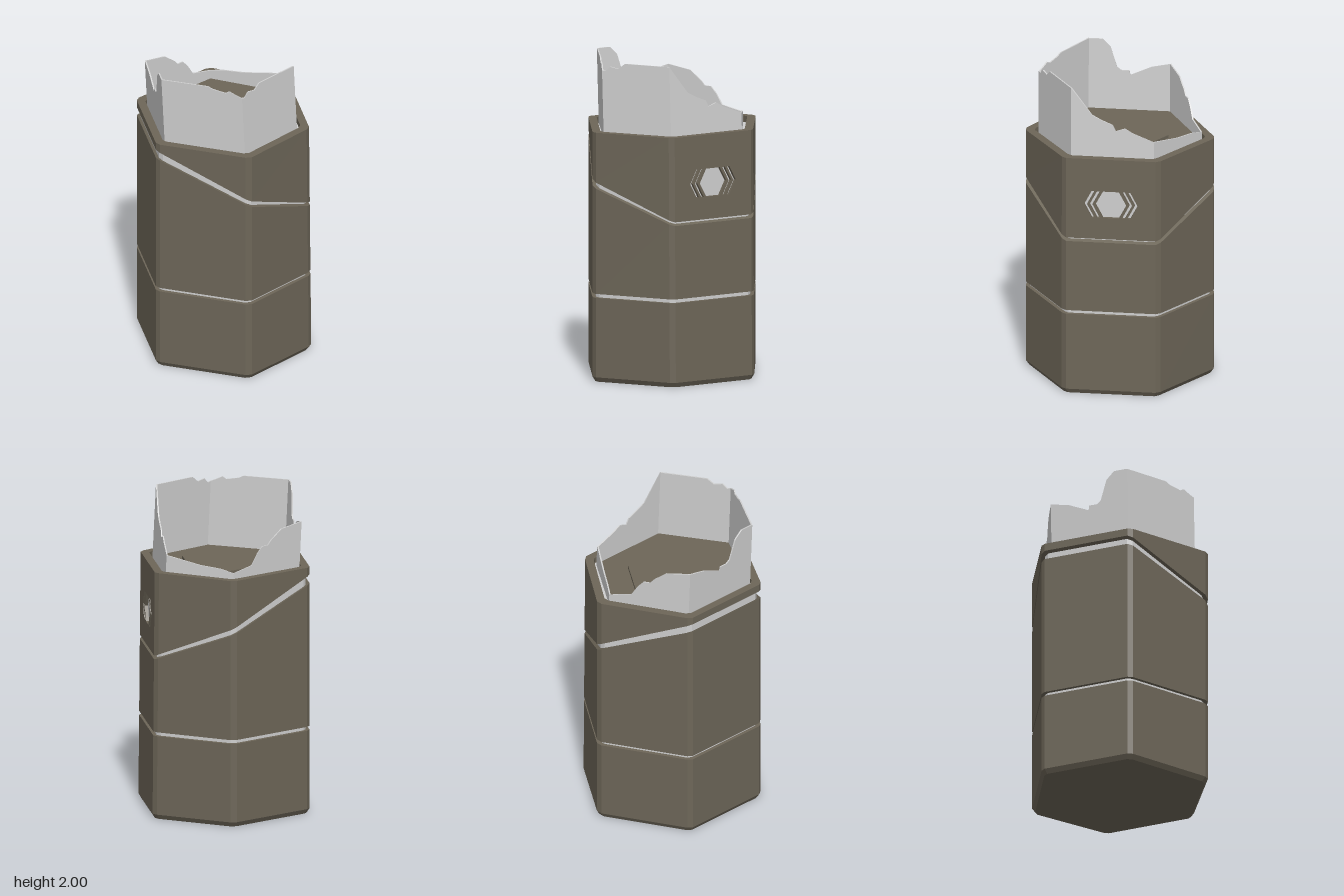
import * as THREE from 'three';

const shell = new THREE.MeshStandardMaterial({ color: 0x6d6658 });
shell.name = 'olive brown shell';
const grey = new THREE.MeshStandardMaterial({ color: 0xcfcfcf });
grey.name = 'pale grey';

// Hexagon outline (x, z) with clipped corners, anticlockwise from above
const OUTLINE = [
  [0.01, 0.587], [0.05, 0.587], [0.47, 0.31], [0.492, 0.28], [0.492, -0.28], [0.47, -0.31],
  [0.05, -0.587], [0.01, -0.587], [-0.475, -0.31], [-0.495, -0.28], [-0.495, 0.28], [-0.475, 0.31],
];
// Plain hexagon of the broken glass wall
const HEX = [[0.02, 0.512], [0.405, 0.26], [0.405, -0.26], [0.02, -0.512], [-0.435, -0.26], [-0.435, 0.26]];

// A ring of points at height y (number or function of x)
function ring(points, scale, y) {
  return points.map(([px, pz]) => {
    const x = px * scale;
    return [x, typeof y === 'function' ? y(x) : y, pz * scale];
  });
}

// Flat-sided skin through closed rings
function loft(rings, { bottom = false, top = false, skip = () => false } = {}) {
  const out = [];
  const tri = (a, b, c) => out.push(...a, ...b, ...c);
  const n = rings[0].length;
  for (let r = 0; r < rings.length - 1; r++) {
    for (let i = 0; i < n; i++) {
      if (skip(r, i)) continue;
      const j = (i + 1) % n, lo = rings[r], hi = rings[r + 1];
      tri(lo[i], lo[j], hi[j]);
      tri(lo[i], hi[j], hi[i]);
    }
  }
  const first = rings[0], last = rings[rings.length - 1];
  for (let i = 1; i < n - 1; i++) {
    if (bottom) tri(first[0], first[i + 1], first[i]);
    if (top) tri(last[0], last[i], last[i + 1]);
  }
  const geometry = new THREE.BufferGeometry();
  geometry.setAttribute('position', new THREE.Float32BufferAttribute(out, 3));
  geometry.computeVertexNormals();
  return geometry;
}

// The +x side leans slightly inwards towards the top
function lean(geometry) {
  const p = geometry.attributes.position;
  for (let i = 0; i < p.count; i++) {
    if (p.getX(i) > 0.3) p.setX(i, p.getX(i) - 0.014 * p.getY(i) / 1.57);
  }
  geometry.computeVertexNormals();
  return geometry;
}

function polygon(Type, points) {
  return new Type(points.map(([x, y]) => new THREE.Vector2(x, y)));
}

// Side panel with the cut-out hexagon and chevrons
function emblemPanel() {
  const shape = polygon(THREE.Shape, [[-0.28, 1.04], [0.28, 1.04], [0.28, 1.57], [-0.28, 1.57]]);
  const cy = 1.269, h = 0.088, w = 0.018, s = 0.046;
  const cut = (pts) => shape.holes.push(polygon(THREE.Path, pts.map(([x, y]) => [x, cy + y])));
  cut([[-0.097, 0], [-0.05, h], [0.05, h], [0.097, 0], [0.05, -h], [-0.05, -h]]);
  for (const side of [-1, 1]) {
    for (const tip of [0.133, 0.167]) {
      cut([[tip, 0], [tip - s, h], [tip - s - w, h], [tip - w, 0], [tip - s - w, -h], [tip - s, -h]]
        .map(([x, y]) => [x * side, y]));
    }
  }
  const geometry = new THREE.ExtrudeGeometry(shape, { depth: 0.02, bevelEnabled: false });
  geometry.rotateY(Math.PI / 2).translate(0.472, 0, 0);
  return lean(geometry);
}

// Jagged top of each glass wall: [fraction along the wall, height]
const JAGGED = [
  [[0, 1.95], [0.05, 1.945], [0.12, 1.975], [0.24, 1.965], [0.34, 2]],
  [[0, 2], [0.25, 1.83], [0.36, 1.8], [0.5, 1.77], [0.54, 1.73], [0.65, 1.75], [0.75, 1.72]],
  [[0, 1.67], [0.5, 1.63], [0.8, 1.62]],
  [[0, 1.6], [0.27, 1.63], [0.35, 1.7], [0.42, 1.74], [0.5, 1.74], [0.55, 1.77], [0.7, 1.83]],
  [[0, 1.855], [0.23, 1.83], [0.49, 1.77], [0.5, 1.8], [0.6, 1.8], [0.65, 1.82], [0.73, 1.95], [0.83, 2]],
  [[0, 2], [0.58, 2], [0.64, 1.985], [0.8, 1.97], [0.85, 1.985], [0.93, 1.965]],
];

function brokenGlass() {
  const base = [], tops = [];
  JAGGED.forEach((wall, k) => {
    const a = HEX[k], b = HEX[(k + 1) % 6];
    for (const [t, y] of wall) {
      base.push([a[0] + (b[0] - a[0]) * t, a[1] + (b[1] - a[1]) * t]);
      tops.push(y);
    }
  });
  const level = (scale, high) => base.map(([x, z], i) => {
    const y = high ? tops[i] : 1.53;
    return [(x + 0.015) * scale - 0.015 - 0.02 * (y - 1.57) / 0.43, y, z * scale];
  });
  return loft([level(1, false), level(1, true), level(0.98, true), level(0.98, false)]);
}

export function createModel() {
  const group = new THREE.Group();
  const add = (name, geometry, material) => {
    const mesh = new THREE.Mesh(geometry, material);
    mesh.name = name;
    group.add(mesh);
  };
  // Sloping edges on either side of the diagonal groove
  const upperEdge = (x) => 1.28 - 0.488 * x;
  const lowerEdge = (x) => 1.24 - 0.455 * x;

  add('innerCore', lean(loft([ring(OUTLINE, 0.955, 0.04), ring(OUTLINE, 0.955, 1.53)],
    { bottom: true, top: true })), grey);

  add('baseBlock', lean(loft([ring(OUTLINE, 0.965, 0), ring(OUTLINE, 1, 0.03), ring(OUTLINE, 1, 0.53)],
    { bottom: true, top: true })), shell);

  add('middleBlock', lean(loft([ring(OUTLINE, 1, 0.555), ring(OUTLINE, 1, lowerEdge)],
    { bottom: true, top: true })), shell);

  // Upper block is a collar; its +x face is the cut-out panel
  add('upperCollar', lean(loft([
    ring(OUTLINE, 0.9, upperEdge), ring(OUTLINE, 1, upperEdge), ring(OUTLINE, 1, 1.57),
    ring(OUTLINE, 0.9, 1.57), ring(OUTLINE, 0.9, 1.525),
  ], { skip: (r, i) => r === 1 && i === 3 })), shell);
  add('emblemPanel', emblemPanel(), shell);

  // Floor inside the glass, with a raised hexagonal pad
  add('floor', loft([ring(HEX, 0.98, 1.525), ring(HEX, 0.98, 1.545)], { top: true }), shell);
  add('raisedPad', loft([ring(HEX, 0.585, 1.54), ring(HEX, 0.585, 1.565)], { top: true }), shell);

  add('brokenGlass', brokenGlass(), grey);
  return group;
}
